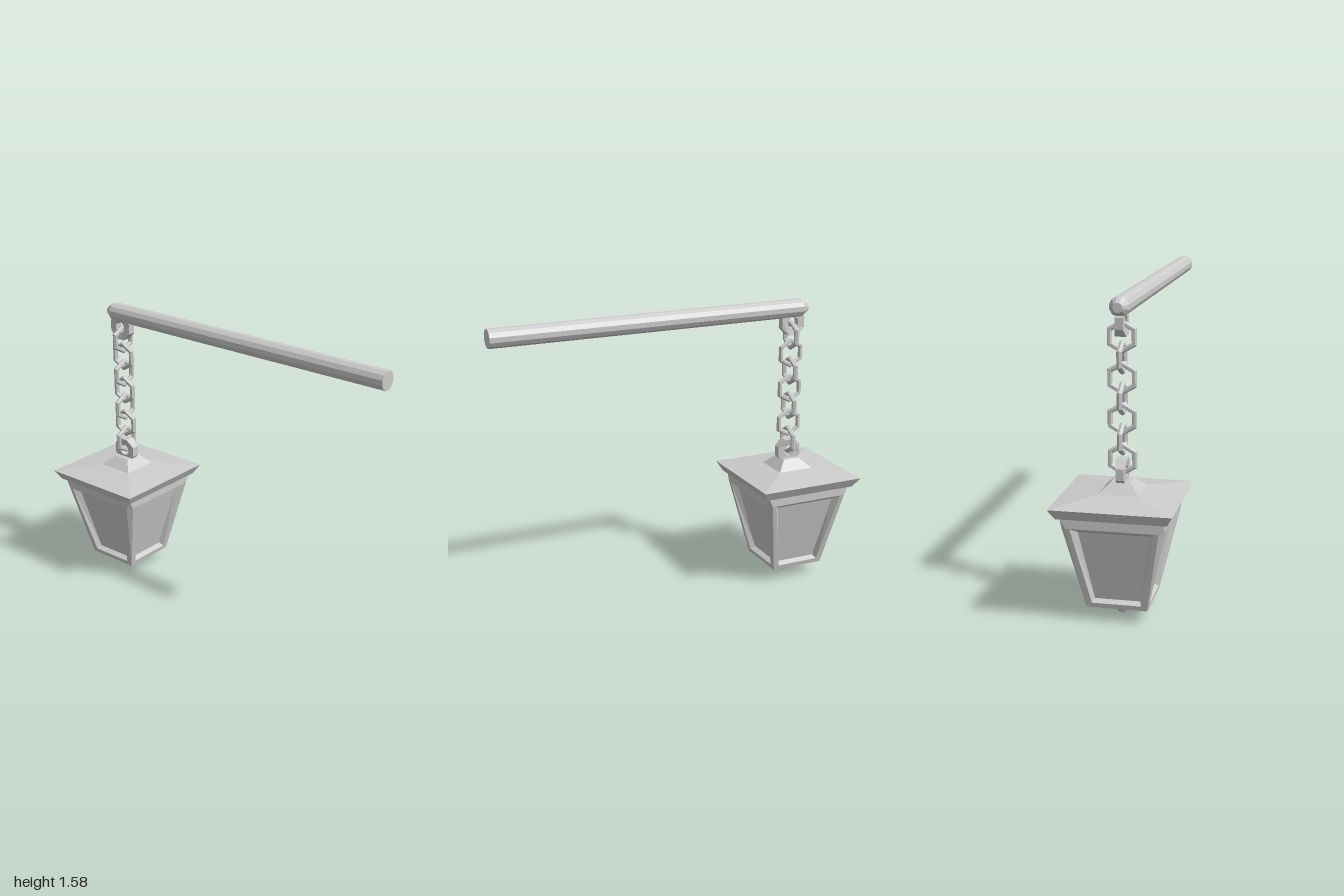
import * as THREE from 'three';

const material = new THREE.MeshStandardMaterial({ color: 0xcccccc, flatShading: true });

function part(name, geometry, parent) {
  const mesh = new THREE.Mesh(geometry, material);
  mesh.name = name;
  parent.add(mesh);
  return mesh;
}

// Faceted turned shape; profile is [radius, height] from bottom to top
function turned(profile, sides, scale = 1) {
  const points = profile.map(([r, y]) => new THREE.Vector2(r * scale, y));
  return new THREE.LatheGeometry(points, sides).rotateY(Math.PI / sides);
}

// Square tiers: profile holds half widths
const squareTiers = (profile) => turned(profile, 4, Math.SQRT2);

// One wall of the lantern facing +z: frame, recessed pane and corner chamfer
function wallGeometry() {
  const pos = [];
  const face = (...p) => {
    for (let i = 1; i < p.length - 1; i++) pos.push(...p[0], ...p[i], ...p[i + 1]);
  };
  const depth = (y) => 0.15 + ((y - 0.07) / 0.43) * 0.1;
  const loop = (y0, w0, y1, w1, inset) => [
    [-w0, y0, depth(y0) - inset], [w0, y0, depth(y0) - inset],
    [w1, y1, depth(y1) - inset], [-w1, y1, depth(y1) - inset],
  ];
  const loops = [
    loop(0.07, 0.15, 0.5, 0.225, 0),
    loop(0.095, 0.122, 0.498, 0.203, 0),
    loop(0.11, 0.112, 0.475, 0.172, 0.03),
  ];
  for (let k = 0; k < 2; k++) {
    for (let i = 0; i < 4; i++) {
      const j = (i + 1) % 4;
      face(loops[k][i], loops[k][j], loops[k + 1][j], loops[k + 1][i]);
    }
  }
  face(...loops[2]);
  // Upper rim and corner chamfer
  face([-0.225, 0.5, 0.25], [0.225, 0.5, 0.25], [0.25, 0.55, 0.25], [-0.25, 0.55, 0.25]);
  face([0.15, 0.07, 0.15], [0.25, 0.5, 0.225], [0.225, 0.5, 0.25]);
  face([0.225, 0.5, 0.25], [0.25, 0.5, 0.225], [0.25, 0.55, 0.25]);
  const geometry = new THREE.BufferGeometry();
  geometry.setAttribute('position', new THREE.Float32BufferAttribute(pos, 3));
  geometry.computeVertexNormals();
  return geometry;
}

// Thick octagonal eye that flares towards its free (upper) end
function eyeGeometry() {
  const ring = (r, Path) => {
    const p = new Path();
    for (let i = 0; i < 8; i++) {
      const a = ((i + 0.5) * Math.PI) / 4;
      p[i ? 'lineTo' : 'moveTo'](r * Math.cos(a), r * Math.sin(a));
    }
    p.closePath();
    return p;
  };
  const shape = ring(0.073, THREE.Shape);
  shape.holes.push(ring(0.032, THREE.Path));
  const geometry = new THREE.ExtrudeGeometry(shape, { depth: 0.04, bevelEnabled: false });
  geometry.translate(0, 0, -0.02);
  const p = geometry.attributes.position;
  for (let i = 0; i < p.count; i++) {
    if (p.getY(i) > 0.05) p.setZ(i, p.getZ(i) * 1.4);
  }
  geometry.computeVertexNormals();
  return geometry;
}

export function createModel() {
  const model = new THREE.Group();
  model.name = 'hangingLantern';

  // Horizontal bar with a tapered tip
  const bar = turned([[0, -1], [0.05, -1], [0.05, 0.75], [0.024, 0.79], [0, 0.79]], 12);
  part('bar', bar.rotateZ(Math.PI / 2), model).position.y = 1.53;

  const hanging = new THREE.Group();
  hanging.name = 'hangingParts';
  hanging.position.x = -0.7;
  model.add(hanging);

  // Chain: alternating hexagonal links between two eyes
  const chain = new THREE.Group();
  chain.name = 'chain';
  hanging.add(chain);
  const link = new THREE.TorusGeometry(0.069, 0.0145, 6, 6).rotateZ(Math.PI / 6);
  for (let i = 0; i < 7; i++) {
    const mesh = part('chainLink', link, chain);
    mesh.position.y = 1.382 - i * 0.0995;
    if (i % 2 === 0) mesh.rotation.y = Math.PI / 2;
  }
  const eye = eyeGeometry();
  const topEye = part('barEye', eye, chain);
  topEye.position.y = 1.453;
  topEye.rotation.z = Math.PI;
  part('lanternEye', eye, chain).position.y = 0.722;

  // Lantern body
  const lantern = new THREE.Group();
  lantern.name = 'lantern';
  hanging.add(lantern);
  part('roof', squareTiers([
    [0, 0.55], [0.268, 0.55], [0.298, 0.602], [0.1, 0.63], [0.047, 0.682], [0, 0.682],
  ]), lantern);
  const wall = wallGeometry();
  for (let i = 0; i < 4; i++) part('wall', wall, lantern).rotation.y = (i * Math.PI) / 2;
  part('base', squareTiers([[0, 0.045], [0.092, 0.045], [0.15, 0.07], [0, 0.07]]), lantern);
  part('finial', turned([[0, 0], [0.026, 0], [0.049, 0.046], [0, 0.046]], 8), lantern);

  return model;
}
